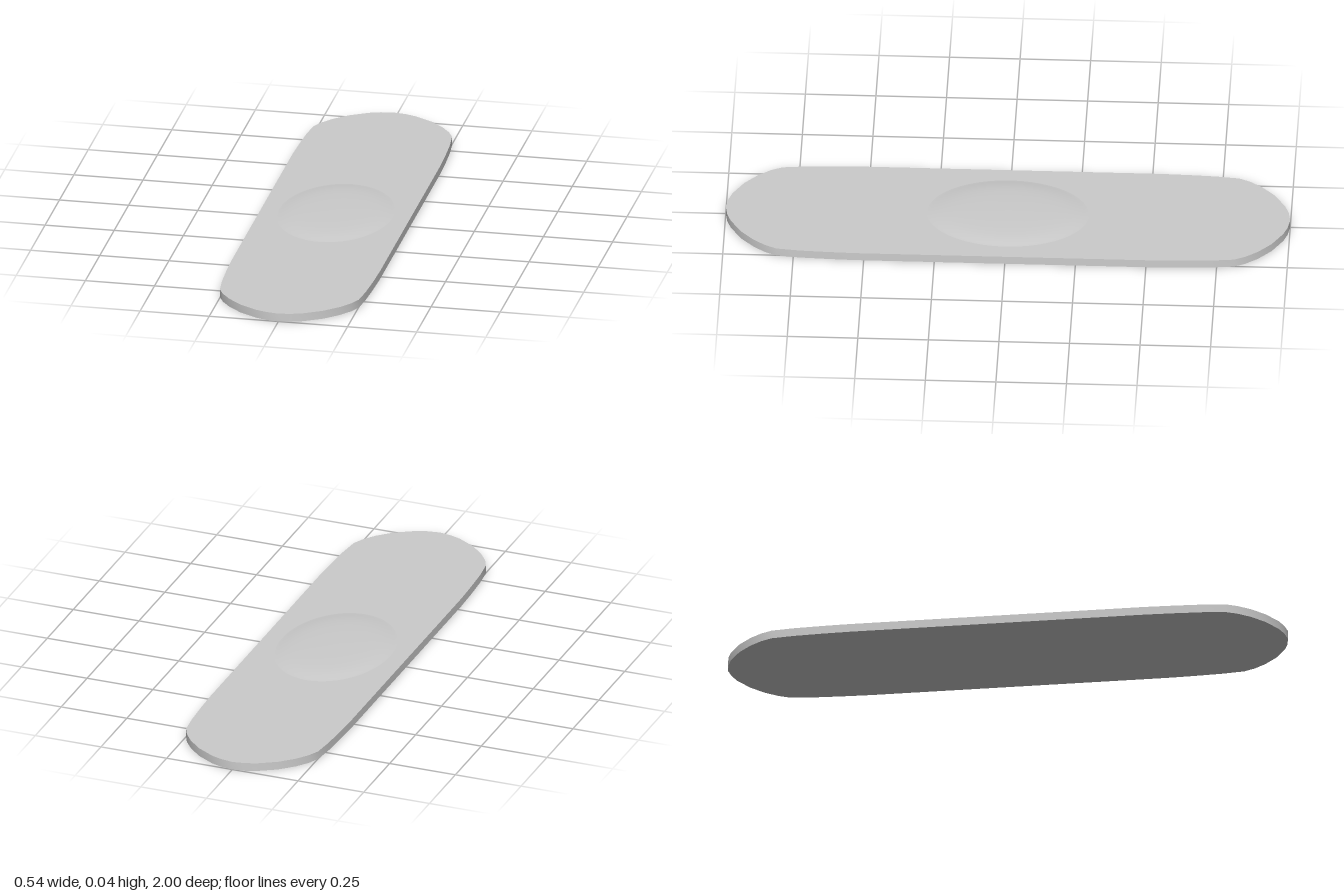
import * as THREE from 'three';
import { toCreasedNormals } from 'three/addons/utils/BufferGeometryUtils.js';

const THICKNESS = 0.03;

export function createModel() {
  const group = new THREE.Group();
  const material = new THREE.MeshStandardMaterial({ color: 0xcccccc });

  // Board: one quarter of the outline, mirrored to all four corners
  const quarter = [
    [0.268, 0.53], [0.265, 0.63], [0.26, 0.73], [0.251, 0.81], [0.232, 0.85],
    [0.2, 0.893], [0.15, 0.94], [0.085, 0.979], [0.045, 0.993],
  ];
  const flip = (pts, sx, sy) => pts.map(([x, y]) => new THREE.Vector2(x * sx, y * sy));
  const outline = [
    ...flip(quarter, 1, 1), new THREE.Vector2(0, 1),
    ...flip(quarter, -1, 1).reverse(),
    ...flip(quarter, -1, -1), new THREE.Vector2(0, -1),
    ...flip(quarter, 1, -1).reverse(),
  ];
  const boardGeometry = new THREE.ExtrudeGeometry(new THREE.Shape(outline), {
    depth: THICKNESS, bevelEnabled: false,
  });
  boardGeometry.rotateX(-Math.PI / 2);
  const board = new THREE.Mesh(toCreasedNormals(boardGeometry, Math.PI / 5), material);
  board.name = 'board';
  group.add(board);

  // Shallow oval swelling in the middle of the top face
  const profile = [
    [0.205, 0], [0.195, 0.0015], [0.175, 0.006], [0.15, 0.009],
    [0.12, 0.0115], [0.08, 0.0128], [0.04, 0.0137], [0, 0.014],
  ].map(([r, y]) => new THREE.Vector2(r, THICKNESS + y));
  const domeGeometry = new THREE.LatheGeometry(profile, 48);
  domeGeometry.scale(1, 1, 1.4);
  const dome = new THREE.Mesh(domeGeometry, material);
  dome.name = 'centreDome';
  group.add(dome);

  return group;
}
